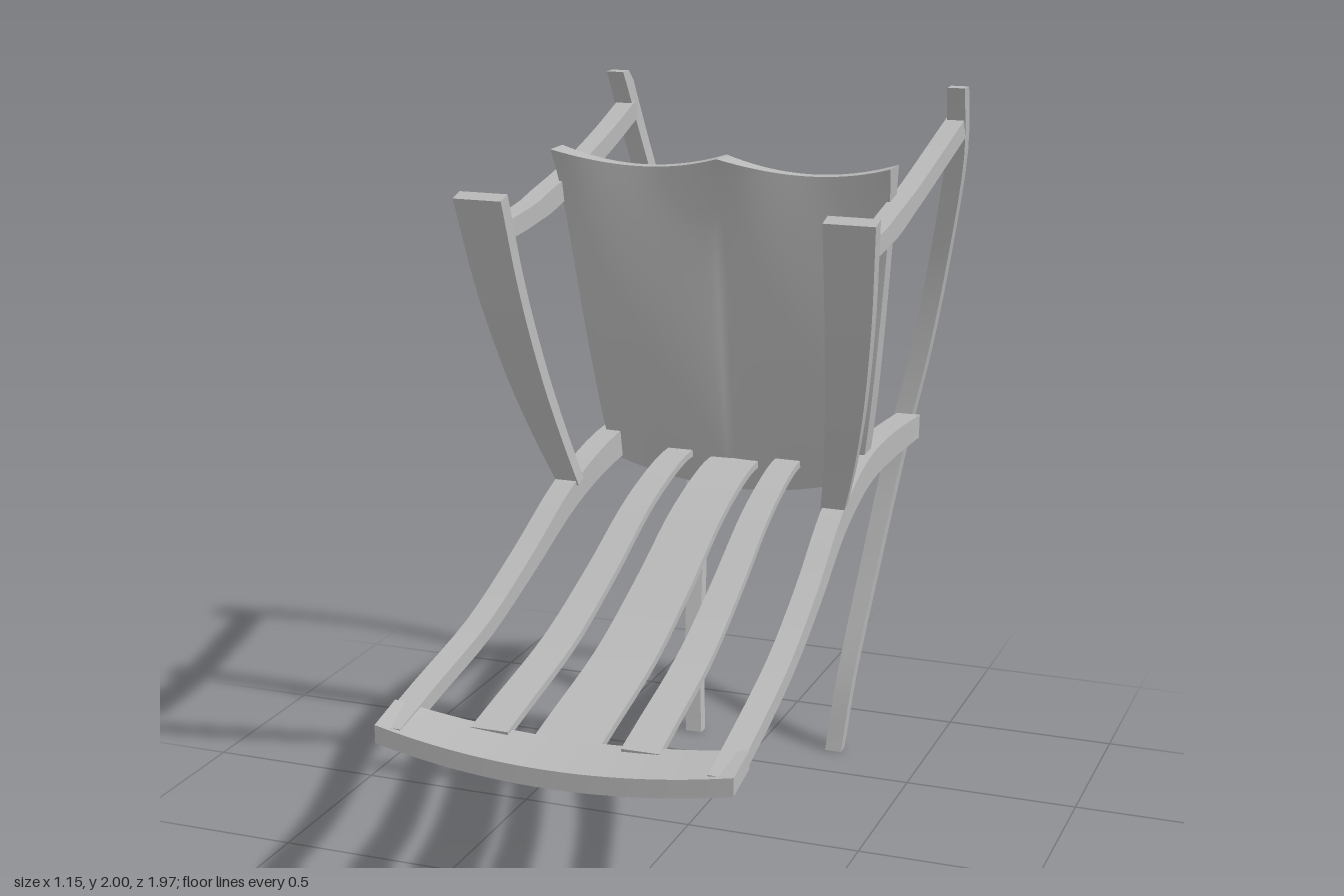
import * as THREE from 'three';

const grey = new THREE.MeshStandardMaterial({ color: 0xb8b8b8 });
grey.name = 'grey';

// Box whose vertices (each coordinate -0.5..0.5) are moved by a rule
function bentBox(name, [nx, ny, nz], rule) {
  const geo = new THREE.BoxGeometry(1, 1, 1, nx, ny, nz);
  const pos = geo.attributes.position;
  for (let i = 0; i < pos.count; i++) {
    pos.setXYZ(i, ...rule(pos.getX(i), pos.getY(i), pos.getZ(i)));
  }
  geo.computeVertexNormals();
  const mesh = new THREE.Mesh(geo, grey);
  mesh.name = name;
  return mesh;
}

// Curved bar; each station is [x, y, z, width in x, thickness], side mirrors it
function bar(name, stations, side = 1) {
  const path = new THREE.CatmullRomCurve3(stations.map(s => new THREE.Vector3(s[0], s[1], s[2])));
  const size = new THREE.CatmullRomCurve3(stations.map(s => new THREE.Vector3(s[3], s[4], 0)));
  return bentBox(name, [1, 28, 1], (bx, by, bz) => {
    const t = by + 0.5;
    const p = path.getPoint(t), s = size.getPoint(t), d = path.getTangent(t);
    const len = Math.hypot(d.y, d.z);
    const off = bz * s.y / len;
    const y = THREE.MathUtils.clamp(p.y - d.z * off, 0, 2);
    return [side * p.x + bx * s.x, y, p.z + d.y * off];
  });
}

const backLeg = [
  [0.225, -0.005, -0.67, 0.05, 0.037], [0.245, 0.22, -0.715, 0.05, 0.038],
  [0.28, 0.55, -0.83, 0.052, 0.04], [0.325, 0.9, -0.933, 0.055, 0.042],
  [0.385, 1.2, -0.965, 0.055, 0.043], [0.44, 1.5, -0.95, 0.055, 0.045],
  [0.495, 1.8, -0.878, 0.055, 0.048], [0.515, 2.015, -0.79, 0.052, 0.05],
];
const seatRail = [
  [0.435, 0.58, 0.95, 0.065, 0.04], [0.43, 0.625, 0.75, 0.065, 0.042],
  [0.417, 0.695, 0.456, 0.063, 0.046], [0.405, 0.80, 0.19, 0.062, 0.055],
  [0.39, 0.92, -0.07, 0.062, 0.07], [0.377, 0.985, -0.34, 0.065, 0.078],
  [0.367, 0.988, -0.6, 0.068, 0.078], [0.358, 0.965, -0.93, 0.07, 0.07],
];
const armRail = [
  [0.495, 1.683, 0.16, 0.055, 0.052], [0.495, 1.705, -0.1, 0.055, 0.055],
  [0.495, 1.755, -0.36, 0.055, 0.055], [0.497, 1.82, -0.62, 0.055, 0.055],
  [0.503, 1.883, -0.84, 0.055, 0.055],
];
const armPost = [
  [0.385, 0.95, -0.09, 0.065, 0.038], [0.42, 1.1, -0.032, 0.085, 0.04],
  [0.453, 1.28, 0.038, 0.105, 0.042], [0.485, 1.53, 0.125, 0.125, 0.043],
  [0.506, 1.792, 0.2, 0.138, 0.045],
];

// Seat slat following the rails, dropped toward the middle of the seat
function slat(name, xFront, xBack, wFront, wBack, drop, side = 1) {
  const stations = [
    [0.597, 0.87], [0.625, 0.75], [0.695, 0.456], [0.80, 0.19],
    [0.92, -0.07], [0.983, -0.3], [0.99, -0.42],
  ].map(([y, z]) => {
    const k = (0.87 - z) / 1.29;
    return [xFront + (xBack - xFront) * k, y - drop, z, wFront + (wBack - wFront) * k, 0.02];
  });
  return bar(name, stations, side);
}

export function createModel() {
  const chair = new THREE.Group();
  chair.name = 'chair';

  // Mirrored frame parts
  for (const [label, side] of [['left', 1], ['right', -1]]) {
    chair.add(bar(label + 'BackLeg', backLeg, side));
    chair.add(bar(label + 'SeatRail', seatRail, side));
    chair.add(bar(label + 'ArmRail', armRail, side));
    chair.add(bar(label + 'ArmPost', armPost, side));
    chair.add(slat(label + 'SeatSlat', 0.2, 0.16, 0.1, 0.072, 0.01, side));
  }
  chair.add(slat('middleSeatSlat', 0, 0, 0.178, 0.14, 0.025));

  // Front seat rail: sags and bows forward at the middle
  chair.add(bentBox('frontSeatRail', [24, 1, 2], (bx, by, bz) => {
    const bow = 1 - 4 * bx * bx;
    const k = bz + 0.5;
    return [
      bx * 0.94,
      0.58 - 0.04 * bow + by * 0.048 + (1 - k) * 0.025,
      0.845 + k * (0.115 + 0.025 * bow),
    ];
  }));

  // Padded backrest: curved bottom, two-scallop top, soft bulge on each half
  chair.add(bentBox('backrest', [40, 28, 1], (bx, by, bz) => {
    const u = bx * 2, a = Math.abs(u), v = by + 0.5;
    const scallop = (2 * a - 1) ** 2;
    const bottom = 0.88 + 0.07 * u * u;
    const top = 1.815 + 0.04 * scallop;
    const half = 0.37 + 0.115 * Math.pow(v, 0.75);
    const back = -0.458 + 0.158 * v + 0.02 * u * u * (1 - v);
    const pad = 0.018 * Math.sin(Math.PI * v) * Math.sqrt(Math.sin(Math.PI * Math.min(a, 0.999)));
    const rim = 0.048 * scallop * Math.pow(v, 8);
    const depth = 0.062 - 0.025 * v * v + pad + rim;
    return [u * half, bottom + (top - bottom) * v, back + (bz + 0.5) * depth];
  }));

  return chair;
}
